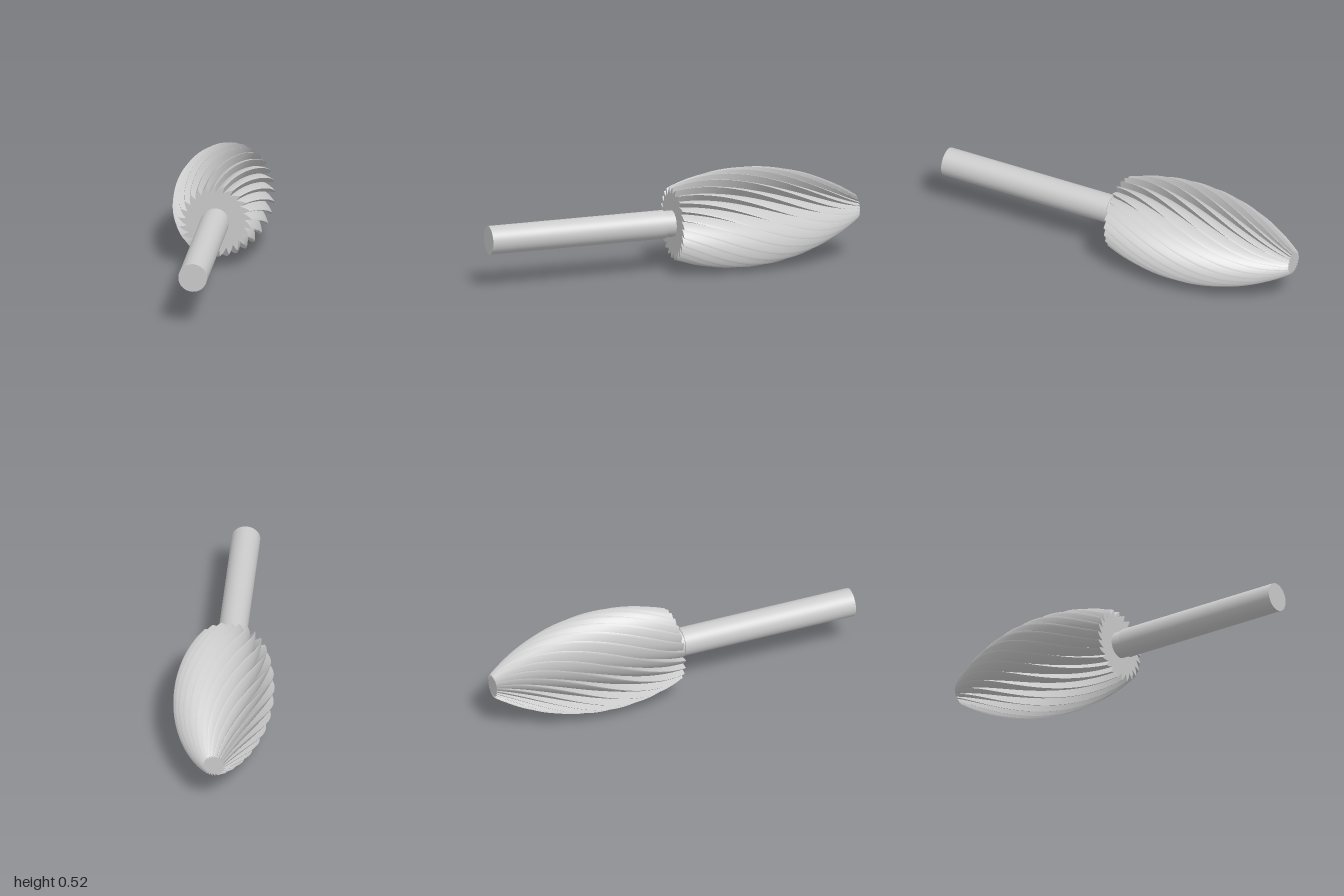
import * as THREE from 'three';

const TEETH = 25, RINGS = 56, TWIST = 1.5, AXIS_Y = 0.258;
const STEP = (Math.PI * 2) / TEETH;

// Tooth section as [fraction of pitch, fraction of outer radius]
const LAND = [[0, 0.8], [0.2, 0.845], [0.4, 0.89], [0.6, 0.93], [0.8, 0.97], [0.92, 0.993], [1, 1]];
const RAKE = [[1, 1], [1, 0.8]];

// Outer outline of the head: a circular arc, s = 0 at the shank, 1 at the nose
function headRadius(s) {
  const R = 1.078, u = s - 0.38;
  return 0.258 - (R - Math.sqrt(R * R - u * u));
}

function headPoint(tooth, [t, f], s) {
  const a = (tooth + t) * STEP + TWIST * s, r = headRadius(s) * f;
  return [r * Math.sin(a), r * Math.cos(a), -s];
}

// Spiral flutes: each land and rake face is its own smooth strip, so edges stay sharp
function fluteGeometry() {
  const pos = [], index = [];
  for (let i = 0; i < TEETH; i++) {
    for (const strip of [LAND, RAKE]) {
      const base = pos.length / 3, n = strip.length;
      for (let j = 0; j <= RINGS; j++) {
        for (const p of strip) pos.push(...headPoint(i, p, j / RINGS));
      }
      for (let j = 0; j < RINGS; j++) {
        for (let k = 0; k < n - 1; k++) {
          const a = base + j * n + k, b = a + 1, c = a + n, d = c + 1;
          index.push(a, b, c, b, d, c);
        }
      }
    }
  }
  return finish(pos, index);
}

// Flat toothed end of the head
function capGeometry(s) {
  const pos = [0, 0, -s], index = [];
  for (let i = 0; i < TEETH; i++) {
    for (const p of LAND) pos.push(...headPoint(i, p, s));
  }
  const count = pos.length / 3 - 1;
  for (let k = 0; k < count; k++) {
    const a = 1 + k, b = 1 + ((k + 1) % count);
    if (s === 0) index.push(0, b, a);
    else index.push(0, a, b);
  }
  return finish(pos, index);
}

function finish(pos, index) {
  const g = new THREE.BufferGeometry();
  g.setAttribute('position', new THREE.Float32BufferAttribute(pos, 3));
  g.setIndex(index);
  g.computeVertexNormals();
  return g;
}

// Round bar along z
function rod(radius, z0, z1) {
  return new THREE.CylinderGeometry(radius, radius, z1 - z0, 64)
    .rotateX(Math.PI / 2)
    .translate(0, 0, (z0 + z1) / 2);
}

export function createModel() {
  const model = new THREE.Group();
  model.name = 'rotaryBurr';
  const material = new THREE.MeshStandardMaterial({ color: 0xcccccc });
  const add = (parent, name, geometry) => {
    const mesh = new THREE.Mesh(geometry, material);
    mesh.name = name;
    parent.add(mesh);
  };

  // Cutting head
  const head = new THREE.Group();
  head.name = 'cuttingHead';
  add(head, 'flutes', fluteGeometry());
  add(head, 'headBase', capGeometry(0));
  add(head, 'headNose', capGeometry(1));
  model.add(head);

  // Shank with a slightly narrower neck behind the head
  add(model, 'neck', rod(0.068, -0.01, 0.06));
  add(model, 'shank', rod(0.074, 0.05, 1));

  model.children.forEach((part) => { part.position.y = AXIS_Y; });
  return model;
}
